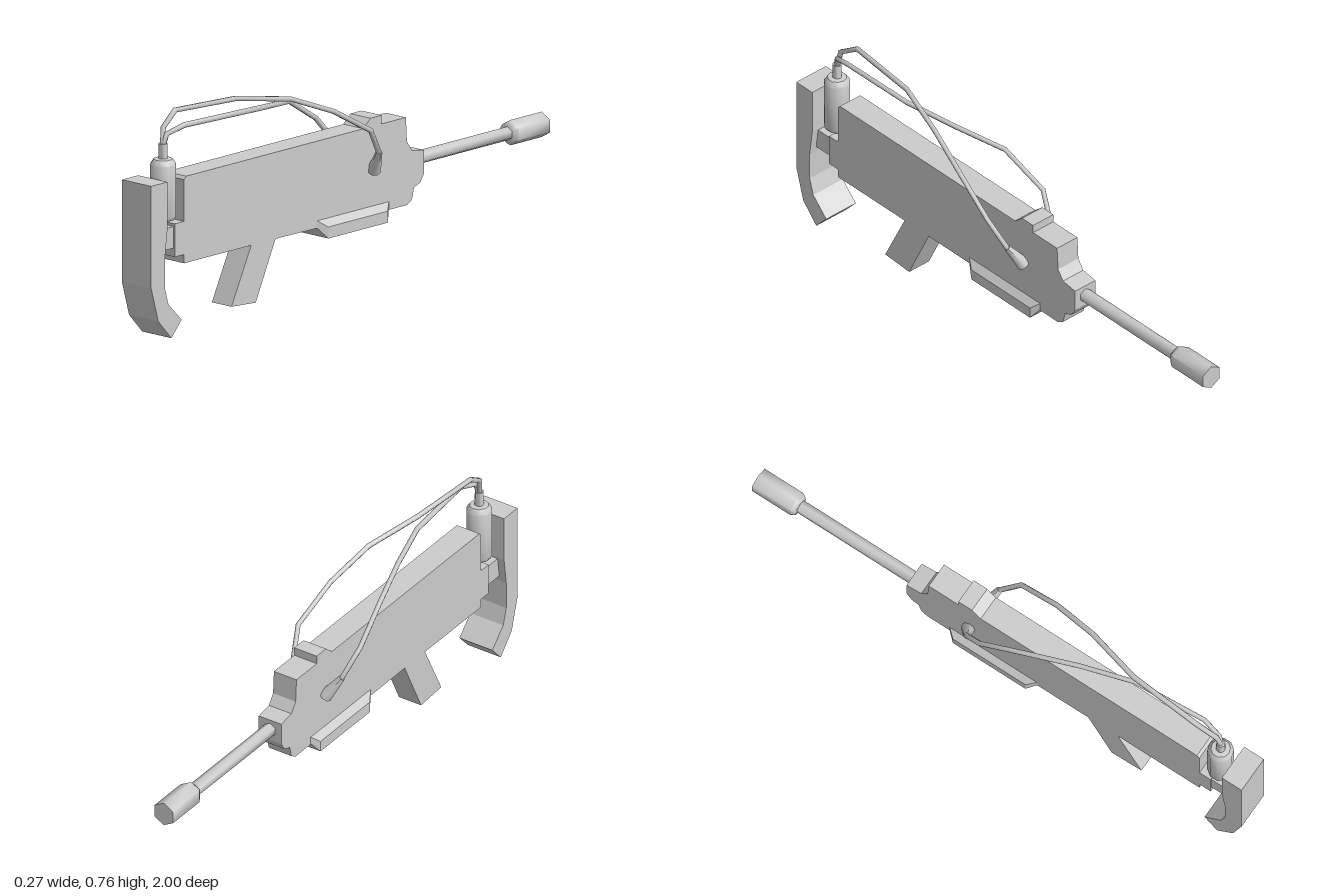
import * as THREE from 'three';
import { toCreasedNormals } from 'three/addons/utils/BufferGeometryUtils.js';
import { ConvexGeometry } from 'three/addons/geometries/ConvexGeometry.js';

const flat = new THREE.MeshStandardMaterial({ color: 0xcccccc, flatShading: true });
const smooth = new THREE.MeshStandardMaterial({ color: 0xcccccc });

function part(name, geometry, material = flat) {
  const mesh = new THREE.Mesh(geometry, material);
  mesh.name = name;
  return mesh;
}

// Side outline given as [z, y] points, extruded across x
function plate(name, outline, halfWidth) {
  const shape = new THREE.Shape(outline.map(([z, y]) => new THREE.Vector2(z, y)));
  const geometry = new THREE.ExtrudeGeometry(shape, { depth: halfWidth * 2, bevelEnabled: false });
  geometry.translate(0, 0, -halfWidth).rotateY(-Math.PI / 2);
  return part(name, geometry);
}

// Turned part from [radius, height] points
function turned(profile, sides, crease) {
  const points = profile.map(([r, h]) => new THREE.Vector2(r, h));
  return toCreasedNormals(new THREE.LatheGeometry(points, sides), crease);
}

// Angular hose: one tube ring at each point of the path
function hose(name, path) {
  const curve = new THREE.CatmullRomCurve3(path.map(p => new THREE.Vector3(...p)));
  curve.getPointAt = curve.getPoint;
  curve.getTangentAt = curve.getTangent;
  return part(name, new THREE.TubeGeometry(curve, path.length - 1, 0.0095, 6), smooth);
}

// Tapered plug between two points
function plug(name, from, to) {
  const a = new THREE.Vector3(...from), b = new THREE.Vector3(...to);
  const axis = b.clone().sub(a);
  const geometry = toCreasedNormals(new THREE.CylinderGeometry(0.024, 0.011, axis.length(), 8), 0.9);
  const mesh = part(name, geometry, smooth);
  mesh.position.copy(a).add(b).multiplyScalar(0.5);
  mesh.quaternion.setFromUnitVectors(new THREE.Vector3(0, 1, 0), axis.normalize());
  return mesh;
}

export function createModel() {
  const model = new THREE.Group();

  // Receiver with sight bump and stepped nose
  model.add(plate('body', [
    [0.815, 0.24], [0.815, 0.53], [0.805, 0.54], [-0.07, 0.54], [-0.105, 0.57], [-0.16, 0.57],
    [-0.16, 0.54], [-0.28, 0.54], [-0.285, 0.455], [-0.31, 0.42], [-0.37, 0.41], [-0.37, 0.33],
    [-0.35, 0.30], [-0.32, 0.29], [-0.31, 0.25], [-0.285, 0.235], [0.36, 0.24],
  ], 0.046));
  model.add(plate('grip', [[0.48, 0.245], [0.58, 0.045], [0.46, 0.037], [0.36, 0.245]], 0.045));

  // Shoulder stock and its connectors
  model.add(plate('stock', [
    [1, 0.545], [1, 0.19], [0.965, 0.07], [0.90, 0], [0.85, 0.055], [0.915, 0.12],
    [0.933, 0.18], [0.933, 0.28], [0.92, 0.38], [0.92, 0.545],
  ], 0.067));
  model.add(plate('stockConnector', [[0.93, 0.30], [0.93, 0.375], [0.85, 0.375], [0.85, 0.30]], 0.04));
  model.add(plate('rearBlock', [[0.86, 0.27], [0.86, 0.385], [0.81, 0.385], [0.81, 0.27]], 0.045));

  // Handguard flaring out below the body
  const corners = [];
  for (const s of [-1, 1]) {
    for (const z of [0.16, -0.197]) {
      for (const y of [0.265, 0.24]) corners.push(new THREE.Vector3(s * 0.045, y, z));
    }
    for (const z of [0.125, -0.168]) {
      for (const y of [0.24, 0.2]) corners.push(new THREE.Vector3(s * 0.067, y, z));
    }
  }
  model.add(part('handguard', new ConvexGeometry(corners)));

  // Six-sided barrel and muzzle, pointing to -z
  const front = new THREE.Group();
  front.name = 'barrelAssembly';
  front.add(part('barrel', turned([[0.024, 0.34], [0.024, 0.84]], 6, 1.1), smooth));
  front.add(part('muzzle', turned([[0, 0.83], [0.035, 0.83], [0.044, 0.845], [0.044, 1], [0, 1]], 6, 1.1), smooth));
  front.rotation.x = -Math.PI / 2;
  front.position.y = 0.373;
  model.add(front);

  // Canister with neck, standing behind the body
  const canister = part('canister', turned([
    [0, 0.395], [0.038, 0.395], [0.045, 0.405], [0.045, 0.587], [0.033, 0.605],
    [0.016, 0.607], [0.0155, 0.658], [0, 0.658],
  ], 10, 0.75), smooth);
  canister.position.z = 0.87;
  model.add(canister);

  // Hoses from the neck to plugs on both sides
  model.add(hose('leftHose', [
    [0, 0.64, 0.872], [-0.008, 0.71, 0.86], [-0.019, 0.755, 0.79], [0.005, 0.748, 0.515],
    [0.065, 0.718, 0.31], [0.104, 0.65, 0.14], [0.126, 0.557, -0.02], [0.098, 0.46, -0.092],
    [0.08, 0.435, -0.104],
  ]));
  model.add(hose('rightHose', [
    [0, 0.64, 0.872], [0.008, 0.69, 0.86], [0.022, 0.71, 0.79], [0.008, 0.697, 0.515],
    [-0.04, 0.675, 0.33], [-0.1, 0.65, 0.14], [-0.126, 0.557, -0.02], [-0.098, 0.46, -0.092],
    [-0.08, 0.435, -0.104],
  ]));
  for (const s of [-1, 1]) {
    model.add(plug(s > 0 ? 'leftPlug' : 'rightPlug', [s * 0.1, 0.465, -0.09], [s * 0.05, 0.388, -0.118]));
  }

  return model;
}
